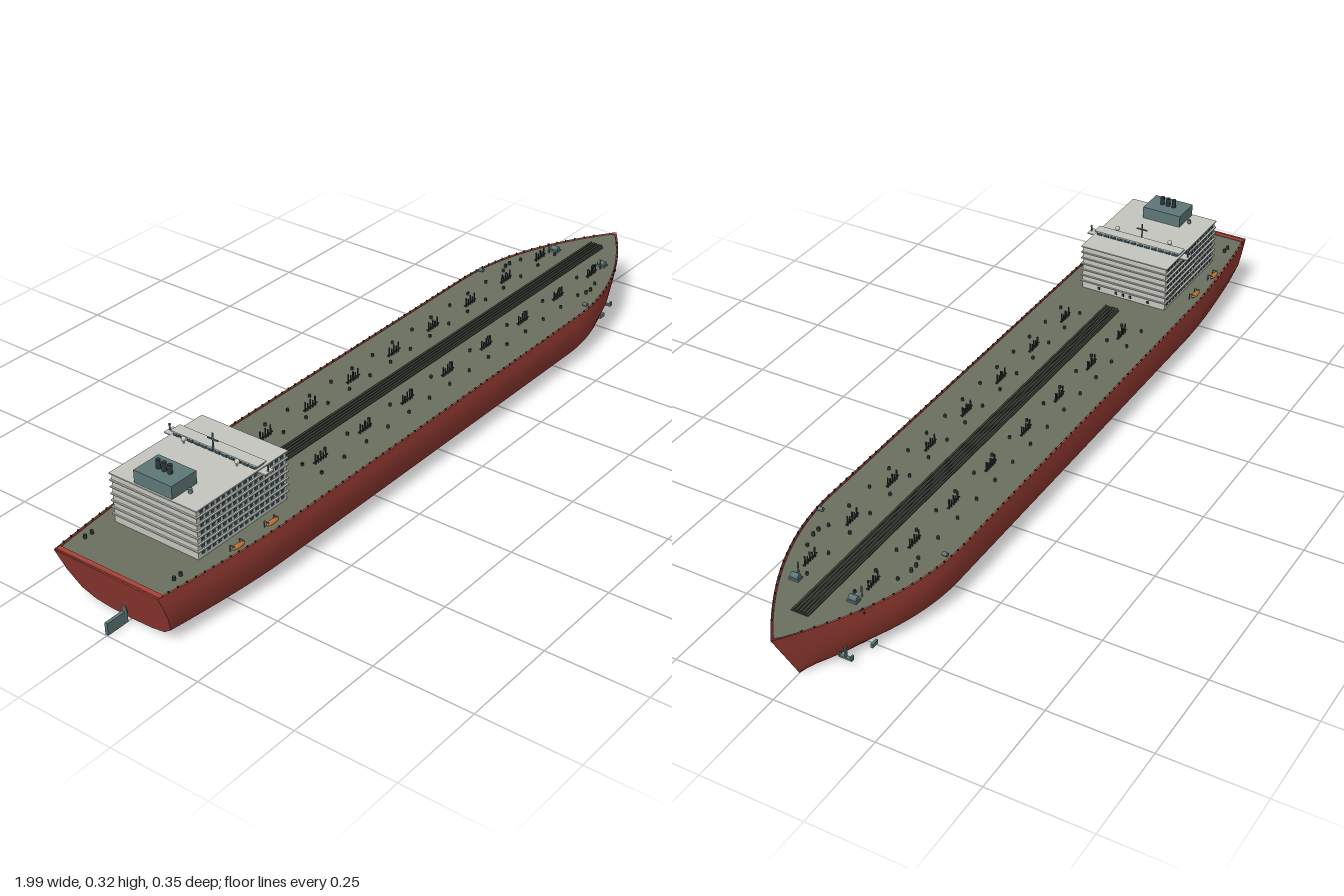
import * as THREE from 'three';
import { mergeGeometries } from 'three/addons/utils/BufferGeometryUtils.js';

const RED = 0xa8433a, DECK = 0x6b7060, WHITE = 0xc6c7bf, TEAL = 0x5f7878, DARK = 0x2b3638, GLASS = 0x2f4f5e, PIPE = 0x3c4038, ORANGE = 0xb8702c;
const DECK_Y = 0.15;

const mat = (color, side = THREE.FrontSide) => new THREE.MeshStandardMaterial({ color, side });
const box = (w, h, d, x, y, z) => new THREE.BoxGeometry(w, h, d).translate(x, y, z);
const post = (r, h, x, y, z, n = 8) => new THREE.CylinderGeometry(r, r, h, n).translate(x, y + h / 2, z);
const rod = (r, len, axis, x, y, z) => {
  const g = new THREE.CylinderGeometry(r, r, len, 8);
  axis === 'x' ? g.rotateZ(Math.PI / 2) : g.rotateX(Math.PI / 2);
  return g.translate(x, y, z);
};

// Half width of the hull at deck level
function halfWidth(x) {
  if (x > 0.52) return 0.177 * (1 - Math.pow((x - 0.52) / 0.47, 2)) + 0.0005;
  if (x < -0.62) return 0.1775 - 0.032 * Math.pow((-0.62 - x) / 0.37, 1.5);
  return 0.1775;
}

// Raked ends: lower points move towards midships
function rake(x, y) {
  const k = 1 - y / DECK_Y;
  if (x > 0.5) return x - 0.085 * k * (x - 0.5) / 0.49;
  if (x < -0.7) return x + 0.065 * k * (-0.7 - x) / 0.29;
  return x;
}

const stations = [];
for (let i = 0; i <= 12; i++) stations.push(-0.99 + 0.37 * i / 12);
for (let i = 1; i <= 6; i++) stations.push(-0.62 + 1.14 * i / 6);
for (let i = 1; i <= 20; i++) stations.push(0.52 + 0.47 * i / 20);

// Half section from sheer to keel, width as a fraction
const half = [[1, 0.152], [0.995, 0.125], [0.975, 0.085], [0.87, 0.037], [0.675, 0.013], [0.4, 0.004], [0, 0.001]];
const section = [...half, ...half.slice(0, -1).reverse().map(([z, y]) => [-z, y])];

function hullGeometry() {
  const pos = [], idx = [], n = section.length;
  stations.forEach(x => section.forEach(([z, y]) => pos.push(rake(x, y), y, z * halfWidth(x))));
  for (let i = 0; i < stations.length - 1; i++) for (let j = 0; j < n - 1; j++) {
    const a = i * n + j, b = a + 1, c = a + n, d = c + 1;
    idx.push(a, b, c, b, d, c);
  }
  const g = new THREE.BufferGeometry();
  g.setAttribute('position', new THREE.Float32BufferAttribute(pos, 3));
  g.setIndex(idx);
  g.computeVertexNormals();
  return g;
}

// Flat raked stern plate
function transomGeometry() {
  const w = halfWidth(-0.99);
  const g = new THREE.ShapeGeometry(new THREE.Shape(section.map(([z, y]) => new THREE.Vector2(z * w, y))));
  const p = g.attributes.position;
  for (let i = 0; i < p.count; i++) p.setXYZ(i, rake(-0.99, p.getY(i)), p.getY(i), p.getX(i));
  g.computeVertexNormals();
  return g;
}

function deckGeometry() {
  const edge = stations.map(x => [Math.max(-0.975, Math.min(x, 0.98)), Math.max(0, halfWidth(x) - 0.005)]);
  const pts = [...edge, ...edge.slice().reverse().map(([x, z]) => [x, -z])];
  const g = new THREE.ShapeGeometry(new THREE.Shape(pts.map(p => new THREE.Vector2(...p))));
  return g.rotateX(-Math.PI / 2).translate(0, DECK_Y, 0);
}

export function createModel() {
  const ship = new THREE.Group();
  ship.name = 'tankerShip';
  const add = (name, color, geos, side) => {
    const list = [].concat(geos);
    const m = new THREE.Mesh(list.length > 1 ? mergeGeometries(list) : list[0], mat(color, side));
    m.name = name;
    ship.add(m);
  };
  const both = f => [1, -1].flatMap(f);

  // Hull
  add('hull', RED, hullGeometry(), THREE.DoubleSide);
  add('transom', RED, transomGeometry(), THREE.DoubleSide);
  add('sternCoaming', RED, box(0.012, 0.004, 0.29, -0.979, 0.15, 0));
  add('deck', DECK, deckGeometry());
  add('rudder', TEAL, [box(0.06, 0.03, 0.008, -0.97, 0.018, 0), post(0.005, 0.04, -0.945, 0.005, 0)]);

  // Railing stanchions along the sheer
  const rails = [];
  for (let x = -0.96; x < 0.96; x += 0.024)
    rails.push(...both(s => [box(0.003, 0.004, 0.003, x, 0.153, s * (halfWidth(x) - 0.002))]));
  add('railPosts', DARK, rails);

  // Accommodation block with floor edges
  add('accommodation', WHITE, box(0.285, 0.12, 0.236, -0.695, 0.21, 0));
  const floors = [], windows = [];
  for (let f = 0; f < 7; f++) {
    const y = 0.17 + f * 0.0168;
    floors.push(box(0.292, 0.003, 0.244, -0.695, y, 0));
    for (let c = 0; c < 16; c++)
      windows.push(...both(s => [box(0.009, 0.007, 0.003, -0.822 + c * 0.017, y - 0.008, s * 0.118)]));
  }
  add('floorEdges', WHITE, floors);
  add('windows', GLASS, windows);
  add('frontDoors', DARK, [-0.07, -0.02, 0, 0.02, 0.07].map(z => box(0.003, 0.007, 0.006, -0.552, 0.16, z)));

  // Bridge with wings
  add('bridgeWings', WHITE, [box(0.028, 0.003, 0.286, -0.635, 0.2685, 0), box(0.03, 0.003, 0.244, -0.635, 0.281, 0)]);
  add('bridge', WHITE, box(0.024, 0.01, 0.232, -0.635, 0.275, 0));
  const panes = [];
  for (let i = 0; i < 12; i++) for (const x of [-0.622, -0.648])
    panes.push(box(0.003, 0.007, 0.015, x, 0.2755, -0.107 + i * 0.0195));
  add('bridgeWindows', GLASS, panes);
  add('wingLights', TEAL, both(s => [post(0.002, 0.015, -0.635, 0.27, s * 0.138), box(0.004, 0.004, 0.004, -0.635, 0.284, s * 0.138)]));
  add('mast', TEAL, [post(0.002, 0.04, -0.65, 0.28, 0), box(0.003, 0.003, 0.03, -0.65, 0.305, 0)]);
  add('radarDomes', WHITE, both(s => [new THREE.SphereGeometry(0.006, 12, 8).translate(-0.66, 0.283, s * 0.075),
    post(0.002, 0.012, -0.66, 0.27, s * 0.075)]));

  // Funnel
  add('funnelCasing', TEAL, box(0.076, 0.033, 0.106, -0.799, 0.287, 0));
  add('exhaustPipes', DARK, [-0.0165, 0, 0.0165].map(z => post(0.0055, 0.023, -0.8, 0.302, z, 12)));
  add('roofVents', TEAL, both(s => [post(0.005, 0.012, -0.795, 0.27, s * 0.065)]));

  // Lifeboats and davits
  add('lifeboats', ORANGE, both(s => [-0.76, -0.65].map(x =>
    new THREE.SphereGeometry(1, 14, 8).scale(0.02, 0.005, 0.007).translate(x, 0.16, s * 0.159))));
  add('davits', TEAL, both(s => [-0.775, -0.745, -0.665, -0.635].flatMap(x =>
    [post(0.0015, 0.015, x, DECK_Y, s * 0.149), box(0.002, 0.002, 0.014, x, 0.165, s * 0.155)])));

  // Centre pipe rack
  add('pipeRackBase', PIPE, box(1.38, 0.003, 0.042, 0.2, 0.152, 0));
  add('cargoPipes', PIPE, [-0.016, -0.008, 0, 0.008, 0.016].map(z => rod(0.0026, 1.38, 'x', 0.2, 0.157, z)));

  // Manifold groups and deck fittings on each side
  const manifolds = [], fittings = [];
  for (let i = 0; i < 8; i++) {
    const x = -0.39 + i * 0.161;
    manifolds.push(...both(s => {
      const z = s * Math.min(0.08, halfWidth(x) - 0.035);
      return [rod(0.0015, 0.05, 'x', x, 0.156, z),
        ...[-2, -1, 0, 1, 2].map(k => post(0.002, k % 2 ? 0.018 : 0.025, x + k * 0.009, DECK_Y, z))];
    }));
    for (const dx of [-0.04, 0.04]) fittings.push(...both(s => {
      const w = halfWidth(x + dx);
      return [0.115, 0.06].filter(z => z < w - 0.02).map(z => post(0.0035, 0.007, x + dx, DECK_Y, s * z));
    }));
  }
  add('manifolds', DARK, manifolds);
  add('deckFittings', DARK, fittings);

  // Mooring gear
  add('windlasses', TEAL, both(s => [rod(0.007, 0.02, 'z', 0.8, 0.158, s * 0.073), box(0.018, 0.005, 0.024, 0.8, 0.152, s * 0.073),
    rod(0.005, 0.012, 'z', 0.58, 0.156, s * 0.16), post(0.002, 0.027, 0.78, DECK_Y, s * 0.08)]));
  add('bollards', DARK, both(s => [-0.92, -0.9, 0.64, 0.66].map(x => post(0.004, 0.009, x, DECK_Y, s * 0.125))));

  // Bow anchors
  add('anchors', TEAL, both(s => [box(0.006, 0.032, 0.004, 0.835, 0.035, s * 0.07),
    box(0.008, 0.005, 0.034, 0.835, 0.021, s * 0.07),
    ...[-1, 1].map(k => box(0.007, 0.012, 0.004, 0.835, 0.026, s * 0.07 + k * 0.016)),
    box(0.02, 0.01, 0.006, 0.77, 0.022, s * 0.098)]));
  add('hawsePipes', DARK, both(s => [rod(0.005, 0.012, 'z', 0.81, 0.142, s * 0.102)]));

  return ship;
}
